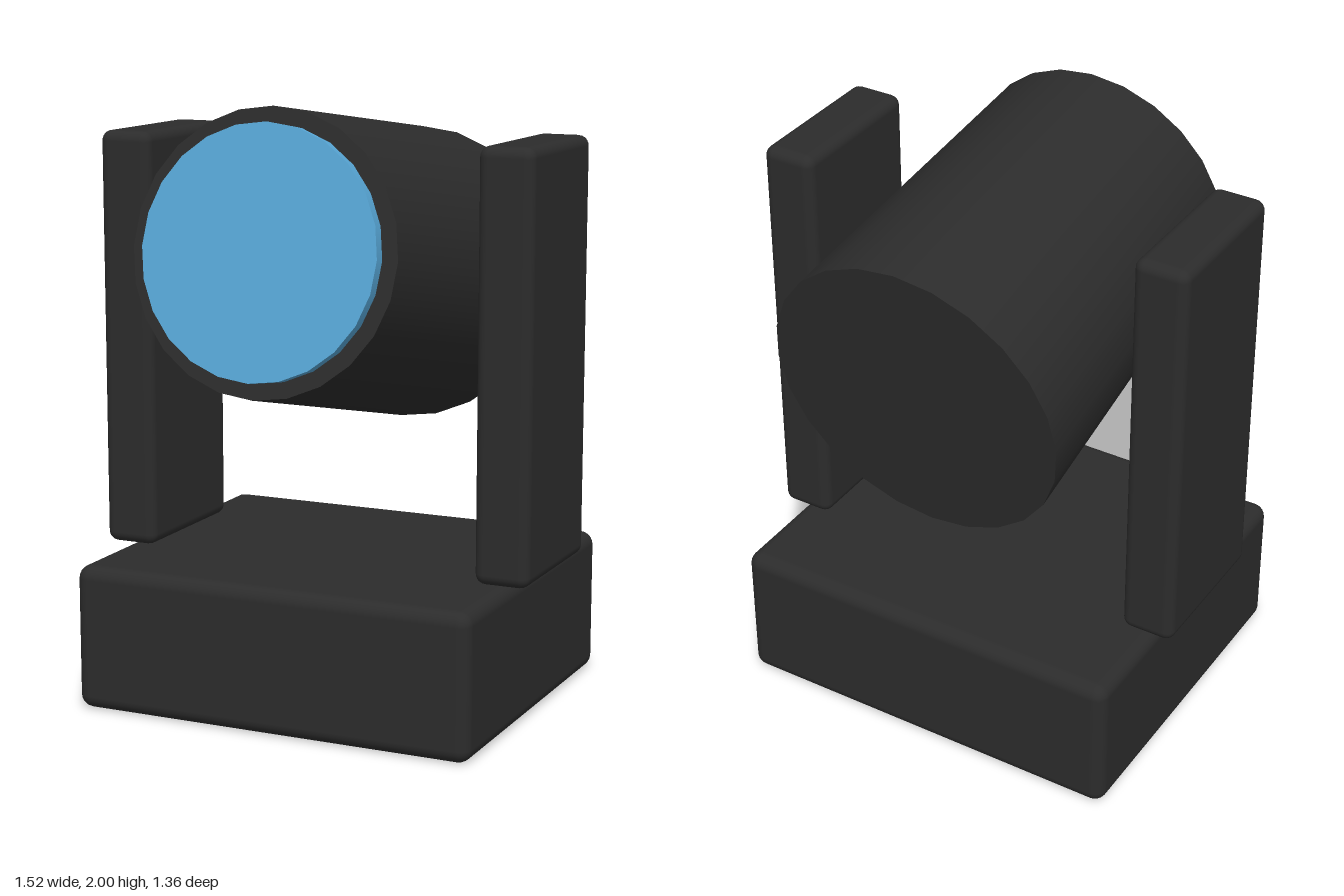
import * as THREE from 'three';
import { RoundedBoxGeometry } from 'three/addons/geometries/RoundedBoxGeometry.js';

export function createModel() {
  const model = new THREE.Group();
  model.name = 'movingHeadLight';

  const housing = new THREE.MeshStandardMaterial({ color: 0x2c2c2c });
  housing.name = 'dark housing';
  const glass = new THREE.MeshStandardMaterial({ color: 0x58a8d8 });
  glass.name = 'blue glass';

  function add(parent, name, geometry, material, x, y, z) {
    const mesh = new THREE.Mesh(geometry, material);
    mesh.name = name;
    mesh.position.set(x, y, z);
    parent.add(mesh);
    return mesh;
  }

  // Base block
  add(model, 'base', new RoundedBoxGeometry(1.39, 0.485, 1.18, 3, 0.045), housing, 0, 0.2425, -0.01);

  // Yoke arms, mirrored left and right
  const armGeometry = new RoundedBoxGeometry(0.185, 1.393, 0.535, 3, 0.035);
  for (const [name, side] of [['leftArm', 1], ['rightArm', -1]]) {
    add(model, name, armGeometry, housing, side * 0.67, 1.184, -0.01);
  }

  // Tilted head, its local +y pointing forward and 10 degrees up
  const head = new THREE.Group();
  head.name = 'head';
  head.position.set(0, 1.452, -0.007);
  head.rotation.x = THREE.MathUtils.degToRad(80);
  model.add(head);
  add(head, 'lampBody', new THREE.CylinderGeometry(0.454, 0.508, 1.18, 24), housing, 0, 0, 0);
  add(head, 'lens', new THREE.CylinderGeometry(0.402, 0.402, 0.08, 24), glass, 0, 0.59, 0);

  return model;
}
